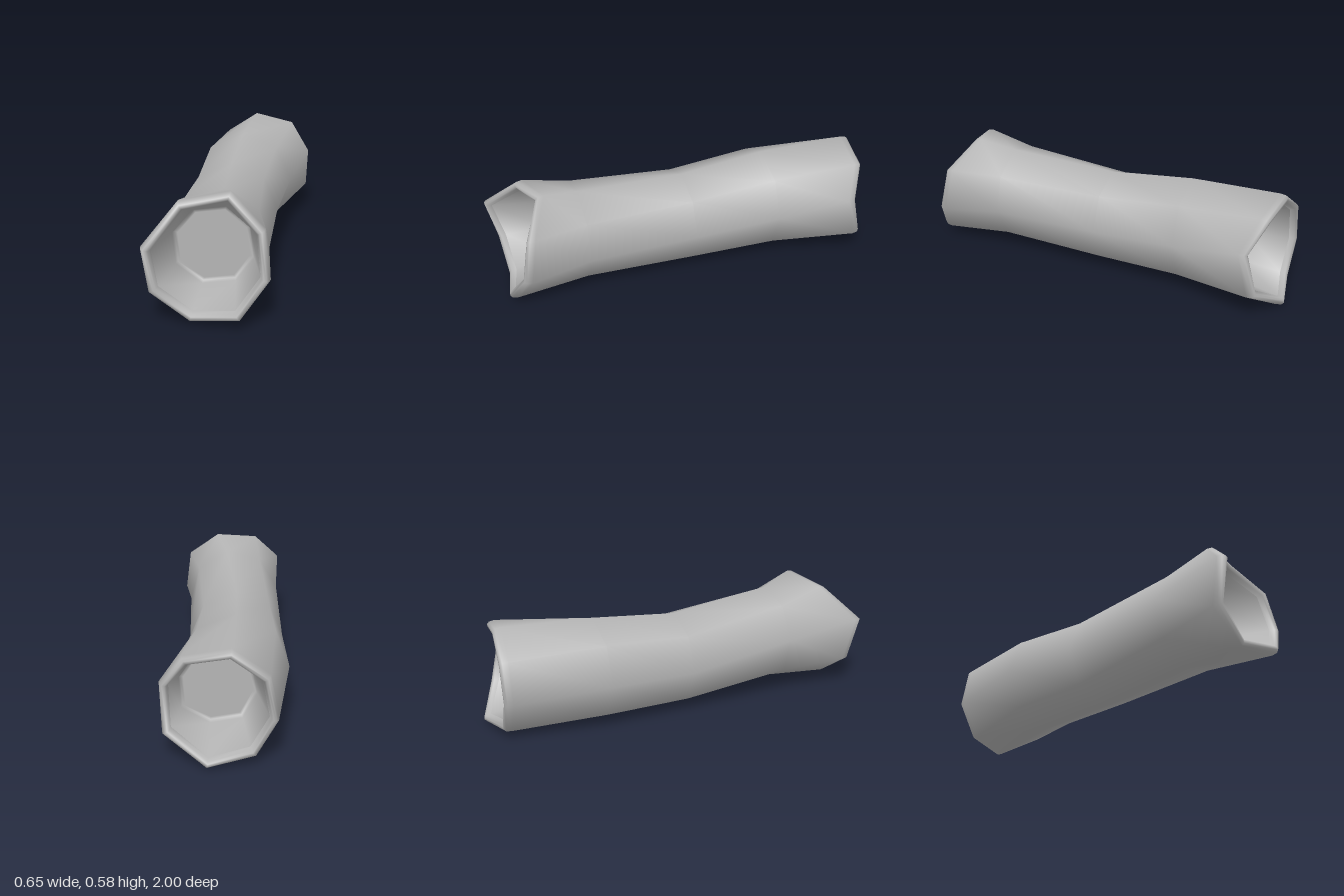
import * as THREE from 'three';

const SIDES = 8;

// Jagged end outlines, counter-clockwise seen from the front: x, y, z
const FRONT = [
  [0.237, 0.22, 0.92], [0.21, 0.445, 0.88], [0.045, 0.585, 0.79], [-0.185, 0.553, 0.85],
  [-0.328, 0.385, 1.0], [-0.307, 0.157, 0.95], [-0.123, 0.018, 0.94], [0.11, 0.05, 0.98],
];
const BACK = [
  [0.327, 0.355, -0.85], [0.222, 0.51, -0.92], [0.0, 0.555, -0.95], [-0.17, 0.44, -0.97],
  [-0.21, 0.23, -0.97], [-0.11, 0.045, -0.96], [0.115, 0.008, -1.0], [0.315, 0.13, -0.9],
];
const FRONT_CENTRE = [-0.045, 0.3];
const BACK_CENTRE = [0.06, 0.285];

// Regular octagon turned by some degrees about the trunk axis
function octagon(cx, cy, r, z, turn) {
  return Array.from({ length: SIDES }, (_, i) => {
    const a = (turn + i * 45) * Math.PI / 180;
    return [cx + r * Math.cos(a), cy + r * Math.sin(a), z];
  });
}

// End outline shrunk towards its centre and moved inwards along z
function shrink(outline, [cx, cy], s, inset) {
  return outline.map(([x, y, z]) =>
    [cx + (x - cx) * s, cy + (y - cy) * s, z - Math.sign(z) * inset]);
}

// Rounded lip, from the inner edge to the outer edge
function lip(outline, centre) {
  return [[0.84, 0.035], [0.865, 0.01], [0.9, 0], [0.945, 0], [0.985, 0.012], [1, 0.04]]
    .map(([s, inset]) => shrink(outline, centre, s, inset));
}

// Skin over successive rings, smooth across the joins
function loft(rings) {
  const index = [];
  for (let i = 0; i < rings.length - 1; i++) {
    for (let j = 0; j < SIDES; j++) {
      const k = (j + 1) % SIDES;
      const a = i * SIDES + j, b = i * SIDES + k;
      const c = a + SIDES, d = b + SIDES;
      index.push(a, c, b, b, c, d);
    }
  }
  const g = new THREE.BufferGeometry();
  g.setAttribute('position', new THREE.Float32BufferAttribute(rings.flat(2), 3));
  g.setIndex(index);
  g.computeVertexNormals();
  return g;
}

// Hollow, from the middle of its floor out to the lip
function hollow(outline, centre, floorZ) {
  const flat = s => shrink(outline, centre, s, 0).map(([x, y]) => [x, y, floorZ]);
  const lift = Math.sign(floorZ) * 0.02;
  return [
    flat(0.001), flat(0.6), flat(0.65),
    flat(0.675).map(([x, y, z]) => [x, y, z + lift]),
    shrink(outline, centre, 0.84, 0.035),
  ];
}

export function createModel() {
  const group = new THREE.Group();
  const wood = new THREE.MeshStandardMaterial({ color: 0xb4b4b4 });
  wood.name = 'grey wood';

  const add = (name, rings) => {
    const mesh = new THREE.Mesh(loft(rings), wood);
    mesh.name = name;
    group.add(mesh);
  };

  // Twisted trunk, narrowest in the middle, with a lip at each end
  add('trunk', [
    ...lip(FRONT, FRONT_CENTRE),
    octagon(-0.045, 0.285, 0.252, 0.57, -8),
    octagon(-0.045, 0.245, 0.245, 0, 0),
    octagon(-0.025, 0.27, 0.268, -0.45, 2),
    ...lip(BACK, BACK_CENTRE).reverse(),
  ]);

  // Shallow hollows at the two ends
  add('frontHollow', hollow(FRONT, FRONT_CENTRE, 0.68));
  add('backHollow', hollow(BACK, BACK_CENTRE, -0.7).reverse());

  return group;
}
